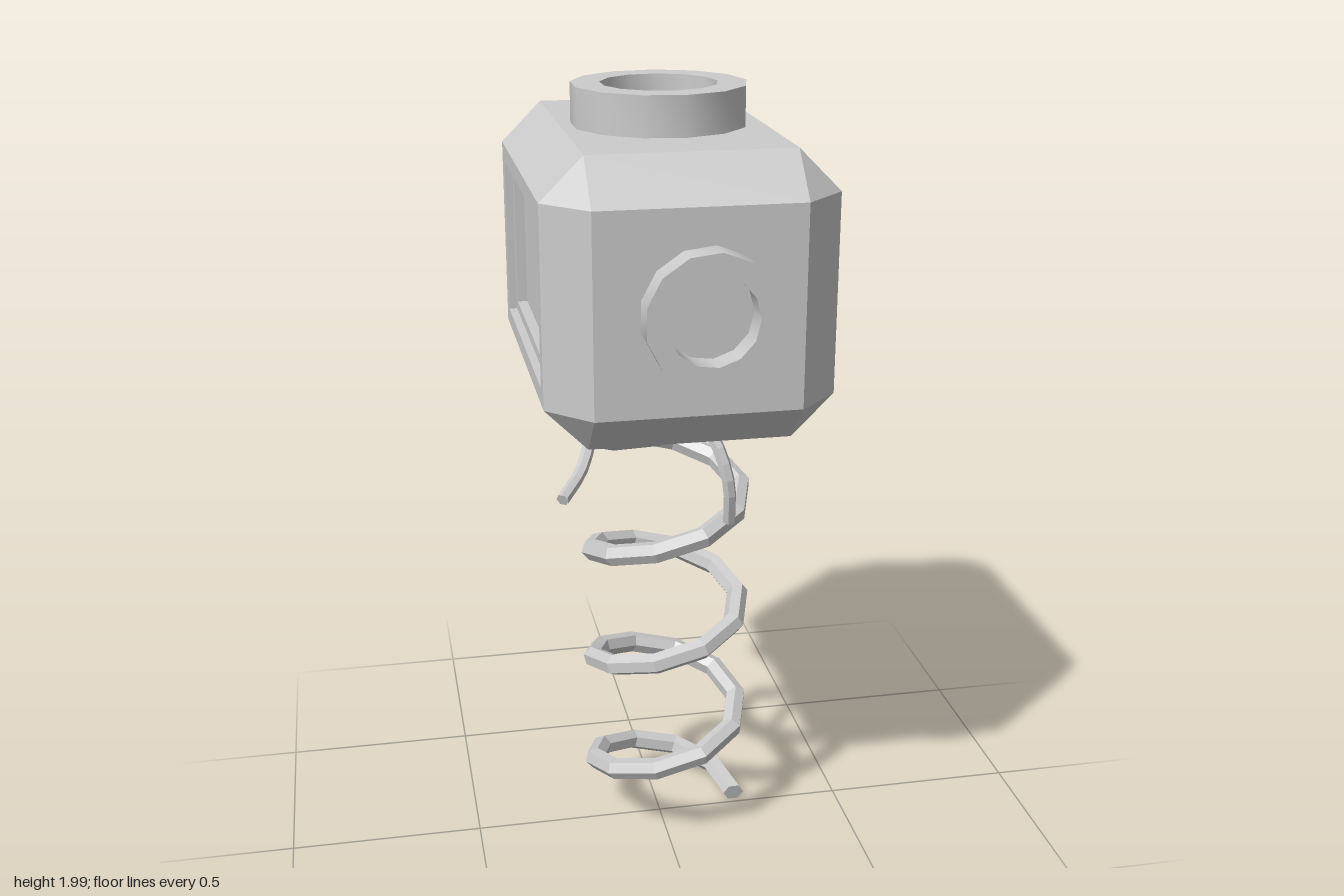
import * as THREE from 'three';
import { ConvexGeometry } from 'three/addons/geometries/ConvexGeometry.js';
import { toCreasedNormals } from 'three/addons/utils/BufferGeometryUtils.js';

const MID_Y = 1.57;
const grey = new THREE.MeshStandardMaterial({ color: 0xcccccc });
const flatGrey = new THREE.MeshStandardMaterial({ color: 0xcccccc, flatShading: true });

function addMesh(parent, name, geometry, material = flatGrey) {
  const mesh = new THREE.Mesh(geometry, material);
  mesh.name = name;
  parent.add(mesh);
  return mesh;
}

// Box with all edges chamfered, left open on its -x face for the window
function chamferedShell(hx, hy, hz, c) {
  const points = [];
  for (const sx of [-1, 1]) for (const sy of [-1, 1]) for (const sz of [-1, 1]) {
    points.push(
      new THREE.Vector3(sx * hx, sy * (hy - c), sz * (hz - c)),
      new THREE.Vector3(sx * (hx - c), sy * hy, sz * (hz - c)),
      new THREE.Vector3(sx * (hx - c), sy * (hy - c), sz * hz));
  }
  const hull = new ConvexGeometry(points).getAttribute('position');
  const kept = [];
  for (let i = 0; i < hull.count; i += 3) {
    if ([0, 1, 2].every(k => hull.getX(i + k) < -hx + 1e-4)) continue;
    for (let k = 0; k < 3; k++) kept.push(hull.getX(i + k), hull.getY(i + k), hull.getZ(i + k));
  }
  const geometry = new THREE.BufferGeometry();
  geometry.setAttribute('position', new THREE.Float32BufferAttribute(kept, 3));
  geometry.computeVertexNormals();
  return geometry;
}

// Rectangular frame facing -x, its outer face at x = -depth
function windowFrame(w, h, holeW, holeH, depth) {
  const rect = (Type, a, b) => {
    const path = new Type();
    path.moveTo(-a / 2, -b / 2).lineTo(a / 2, -b / 2).lineTo(a / 2, b / 2).lineTo(-a / 2, b / 2);
    path.closePath();
    return path;
  };
  const shape = rect(THREE.Shape, w, h);
  shape.holes.push(rect(THREE.Path, holeW, holeH));
  return new THREE.ExtrudeGeometry(shape, { depth, bevelEnabled: false }).rotateY(-Math.PI / 2);
}

// Short open collar with thirteen sides
function collar(outer, inner, height) {
  const profile = [[outer, -0.01], [outer, height], [inner, height], [inner, -0.01]]
    .map(([r, y]) => new THREE.Vector2(r, y));
  return toCreasedNormals(new THREE.LatheGeometry(profile, 13, Math.PI / 2), 0.7);
}

// Tube with closed ends
function cappedTube(parent, name, curve, segments, radius, sides) {
  const group = new THREE.Group();
  group.name = name;
  addMesh(group, name + 'Tube', new THREE.TubeGeometry(curve, segments, radius, sides));
  for (const [t, sign] of [[0, -1], [1, 1]]) {
    const cap = addMesh(group, name + 'End', new THREE.CircleGeometry(radius, sides));
    const end = curve.getPointAt(t);
    cap.position.copy(end);
    cap.lookAt(end.clone().addScaledVector(curve.getTangentAt(t), sign));
  }
  parent.add(group);
}

class Helix extends THREE.Curve {
  constructor(radius, pitch, turns) {
    super();
    Object.assign(this, { radius, pitch, turns });
  }
  getPoint(t, target = new THREE.Vector3()) {
    const a = t * this.turns * Math.PI * 2;
    return target.set(
      0.018 + this.radius * Math.cos(a),
      0.03 + this.pitch * this.turns * t,
      -0.01 - this.radius * Math.sin(a));
  }
}

export function createModel() {
  const model = new THREE.Group();
  model.name = 'springMountedHead';

  // Head shell
  const head = new THREE.Group();
  head.name = 'head';
  head.position.y = MID_Y;
  model.add(head);
  addMesh(head, 'headShell', chamferedShell(0.338, 0.335, 0.478, 0.1));

  // Stepped window sunk into the model's right side
  const outerFrame = addMesh(head, 'windowFrame', windowFrame(0.756, 0.47, 0.67, 0.39, 0.02));
  outerFrame.position.x = -0.318;
  const innerFrame = addMesh(head, 'windowLedge', windowFrame(0.69, 0.41, 0.62, 0.34, 0.025));
  innerFrame.position.x = -0.293;
  const panel = addMesh(head, 'windowPanel', new THREE.PlaneGeometry(0.64, 0.36).rotateY(-Math.PI / 2));
  panel.position.x = -0.293;

  // Collars on the top, front and back
  addMesh(head, 'topCollar', collar(0.21, 0.14, 0.095), grey).position.set(-0.003, 0.335, 0.007);
  addMesh(head, 'frontCollar', collar(0.152, 0.104, 0.067).rotateX(Math.PI / 2), grey)
    .position.set(0.015, 0, 0.478);
  addMesh(head, 'backCollar', collar(0.162, 0.11, 0.067).rotateX(-Math.PI / 2), grey)
    .position.set(0.015, 0, -0.478);

  // Coil spring below the head
  cappedTube(model, 'spring', new Helix(0.195, 0.312, 3.9), 39, 0.028, 6);

  // Loose wires hanging from the underside
  const wires = [
    [[-0.165, 1.26, 0.035], [-0.185, 1.15, 0.06], [-0.22, 1.085, 0.125], [-0.28, 1.05, 0.22]],
    [[-0.155, 1.26, -0.14], [-0.16, 1.16, -0.165], [-0.17, 1.085, -0.23], [-0.178, 1.05, -0.34]],
    [[0.05, 1.26, 0.19], [0.095, 1.17, 0.25], [0.118, 1.08, 0.272], [0.125, 0.975, 0.25]],
  ];
  for (const points of wires) {
    const curve = new THREE.CatmullRomCurve3(points.map(p => new THREE.Vector3(...p)));
    cappedTube(model, 'wire', curve, 8, 0.016, 6);
  }

  return model;
}
